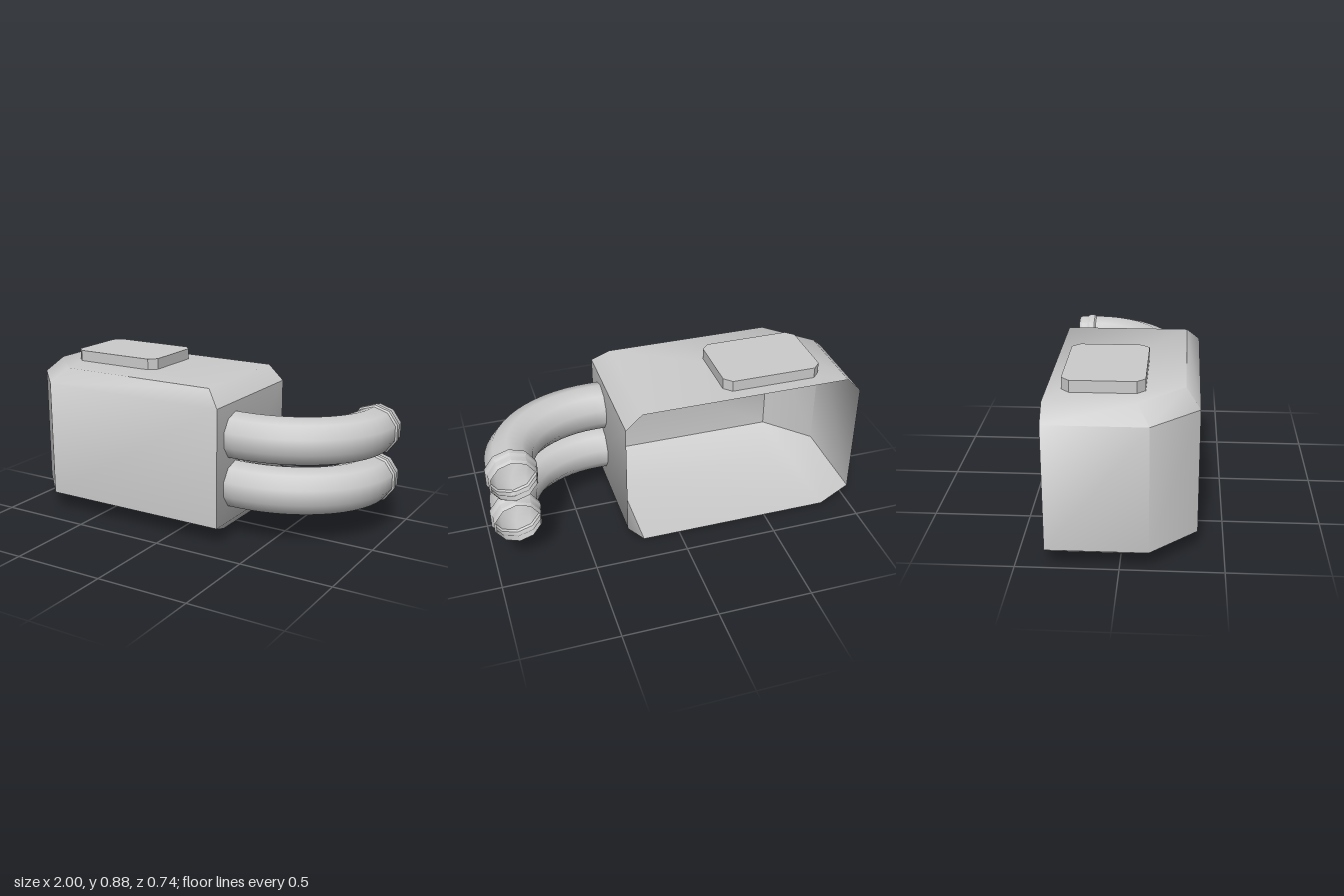
import * as THREE from 'three';
import { toCreasedNormals } from 'three/addons/utils/BufferGeometryUtils.js';

const material = new THREE.MeshStandardMaterial({ color: 0xcccccc, side: THREE.DoubleSide });

// Skin a list of equal-length rings of [x, y, z] points, with optional end caps
function loft(rings, { closed = true, capStart = false, capEnd = false, crease = 0.6 }) {
  const n = rings[0].length;
  const index = [];
  for (let i = 0; i < rings.length - 1; i++) {
    for (let j = 0; j < (closed ? n : n - 1); j++) {
      const k = (j + 1) % n;
      const a = i * n + j, b = i * n + k, c = b + n, d = a + n;
      index.push(a, b, c, a, c, d);
    }
  }
  const last = (rings.length - 1) * n;
  for (let j = 1; j < n - 1; j++) {
    if (capStart) index.push(0, j + 1, j);
    if (capEnd) index.push(last, last + j, last + j + 1);
  }
  const geometry = new THREE.BufferGeometry();
  geometry.setAttribute('position', new THREE.Float32BufferAttribute(rings.flat(2), 3));
  geometry.setIndex(index);
  return toCreasedNormals(geometry, crease);
}

function addMesh(parent, name, geometry) {
  const mesh = new THREE.Mesh(geometry, material);
  mesh.name = name;
  parent.add(mesh);
  return mesh;
}

// Housing outline at one height: open at the back, cut at the front corner
function housingOutline(y, left, cutZ, cutX, front, right) {
  const back = -0.355;
  return [[left, y, back], [left, y, cutZ], [cutX, y, front], [right, y, front], [right, y, back]];
}

// Rectangle with cut corners
function hatchOutline(y, x0, x1, z0, z1, c) {
  return [
    [x0, z0 + c], [x0, z1 - c], [x0 + c, z1], [x1 - c, z1],
    [x1, z1 - c], [x1, z0 + c], [x1 - c, z0], [x0 + c, z0],
  ].map(([x, z]) => [x, y, z]);
}

// Ten-sided ring standing across the pipe, whose direction is turn radians from +x to -z
function pipeRing(x, y, z, turn, radius) {
  const ring = [];
  for (let k = 0; k < 10; k++) {
    const a = Math.PI / 10 + (k * Math.PI) / 5;
    const out = Math.cos(a) * radius;
    ring.push([x + Math.sin(turn) * out, y - Math.sin(a) * radius, z + Math.cos(turn) * out]);
  }
  return ring;
}

function pipeGeometry(y) {
  const r = 0.128, startX = 0.34, startZ = 0.178, endX = 0.867, endZ = -0.25;
  const rx = endX - startX, rz = startZ - endZ;
  const rings = [pipeRing(0.265, y, startZ, 0, r)];
  // Swept elbow
  const steps = 14;
  for (let i = 0; i <= steps; i++) {
    const t = (i / steps) * Math.PI / 2;
    const turn = Math.atan2(rz * Math.sin(t), rx * Math.cos(t));
    rings.push(pipeRing(startX + rx * Math.sin(t), y, endZ + rz * Math.cos(t), turn, r));
  }
  // Raised collar and tapered mouth
  const mouth = [[-0.266, r], [-0.275, 0.137], [-0.303, 0.137], [-0.317, r], [-0.352, r], [-0.368, 0.118]];
  for (const [z, radius] of mouth) rings.push(pipeRing(endX, y, z, Math.PI / 2, radius));
  return loft(rings, { crease: 0.66 });
}

export function createModel() {
  const model = new THREE.Group();
  model.name = 'pipedHousing';

  // Bevelled shell, open at the back
  addMesh(model, 'housing', loft([
    housingOutline(0, -0.85, 0.02, -0.72, 0.145, 0.2),
    housingOutline(0.095, -1, 0.14, -0.78, 0.37, 0.288),
    housingOutline(0.735, -1, 0.14, -0.78, 0.37, 0.288),
    housingOutline(0.816, -0.92, 0.08, -0.7, 0.3, 0.2),
  ], { closed: false, capStart: true, capEnd: true, crease: 0.8 }));

  // Roof hatch, its rim reaching a little below the roof
  const hatch = [0.79, 0.875].map((y) => hatchOutline(y, -0.797, -0.263, -0.283, 0.112, 0.04));
  addMesh(model, 'roofHatch', loft(hatch, { capEnd: true, crease: 0.5 }));

  // Two stacked pipes bending to the back
  addMesh(model, 'lowerPipe', pipeGeometry(0.289));
  addMesh(model, 'upperPipe', pipeGeometry(0.555));

  return model;
}
